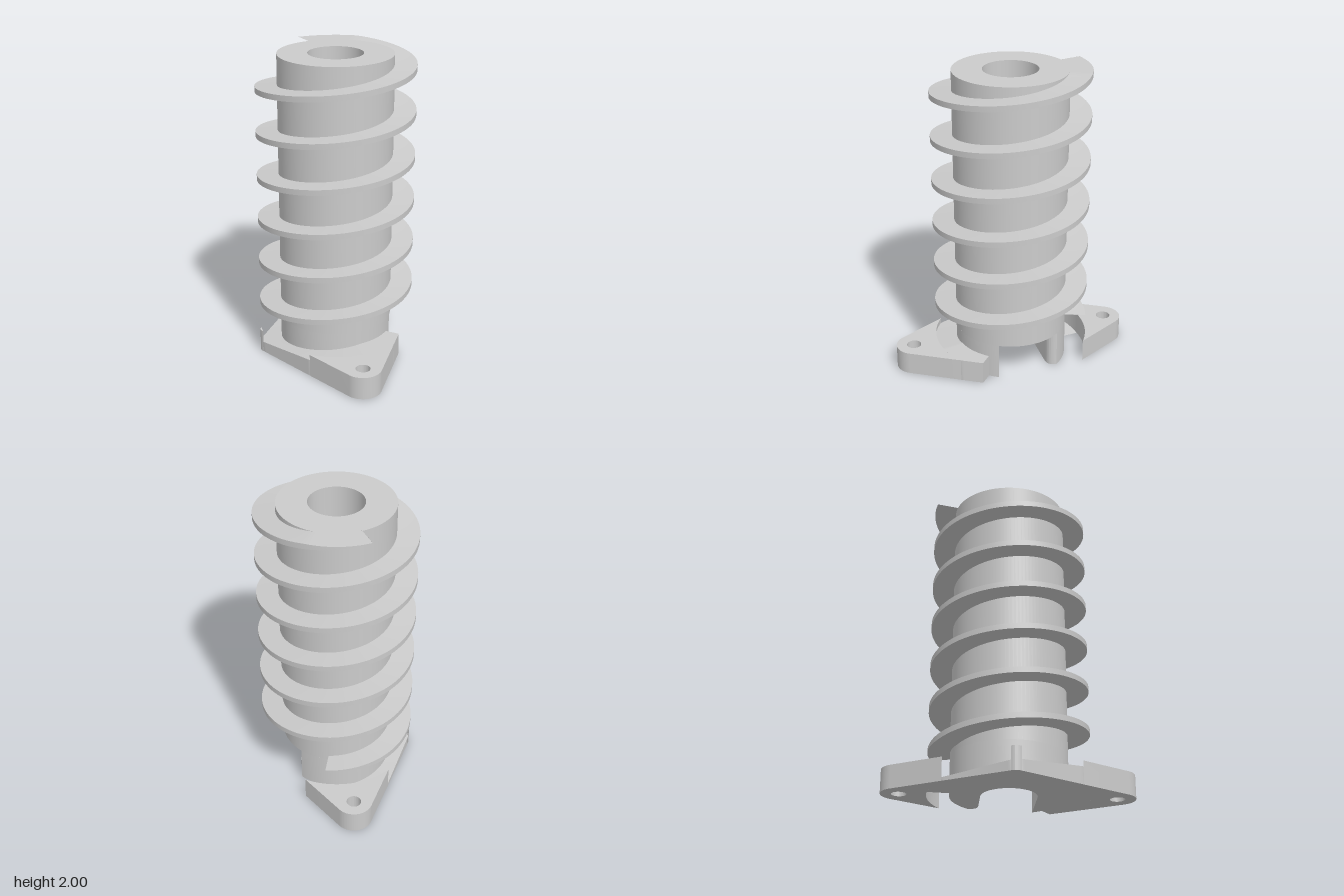
import * as THREE from 'three';
import { toCreasedNormals } from 'three/addons/utils/BufferGeometryUtils.js';

const RAD = Math.PI / 180;
const TUBE = 0.367, BORE = 0.176, FLIGHT = 0.507;
const PITCH = 0.29, THICK = 0.036, BASE = 0.15, SLOT = 0.24;
const EAR_Z = 0.665, EAR_R = 0.122;
const EDGE = EAR_Z / 2 + EAR_R; // distance from the axis to the slanted flange edges
const CUT = Math.acos(EDGE / FLIGHT) / RAD; // where those edges meet the flight circle

const material = new THREE.MeshStandardMaterial({ color: 0xcccccc });

function part(name, geometry) {
  const mesh = new THREE.Mesh(geometry, material);
  mesh.name = name;
  return mesh;
}

// Extrude a plan outline upwards (outline y points to the back)
function slab(shape, y0, y1, curveSegments = 48) {
  const g = new THREE.ExtrudeGeometry(shape, { depth: y1 - y0, bevelEnabled: false, curveSegments });
  g.rotateX(-Math.PI / 2).translate(0, y0, 0);
  return toCreasedNormals(g, 0.5);
}

const polar = (r, deg) => [r * Math.cos(deg * RAD), r * Math.sin(deg * RAD)];

// Sweep a rectangular section around the axis; section(deg) gives inner, outer, low, high
function sweep(from, to, step, section) {
  const n = Math.ceil((to - from) / step);
  const pos = [];
  const rings = [];
  for (let i = 0; i <= n; i++) {
    const deg = from + (to - from) * i / n;
    const { inner, outer, low, high } = section(deg);
    rings.push([[inner, low], [outer, low], [outer, high], [inner, high]].map(([r, y]) => {
      const [x, back] = polar(r, deg);
      return [x, y, -back];
    }));
  }
  const tri = (...pts) => pts.forEach(p => pos.push(...p));
  for (let i = 0; i < n; i++) {
    const p = rings[i], q = rings[i + 1];
    for (let k = 0; k < 4; k++) {
      const m = (k + 1) % 4;
      tri(p[k], q[k], p[m]);
      tri(p[m], q[k], q[m]);
    }
  }
  const a = rings[0], b = rings[n];
  tri(a[0], a[1], a[2]); tri(a[0], a[2], a[3]);
  tri(b[0], b[2], b[1]); tri(b[0], b[3], b[2]);
  const g = new THREE.BufferGeometry();
  g.setAttribute('position', new THREE.Float32BufferAttribute(pos, 3));
  return toCreasedNormals(g, 0.5);
}

// Height of the thread's upper face, unrolled over all turns
const helix = deg => 2 + PITCH * (deg - 59) / 360;

function earShape() {
  const s = new THREE.Shape();
  const a = 30 + CUT, b = 150 - CUT;
  s.moveTo(...polar(FLIGHT, a));
  s.absarc(0, EAR_Z, EAR_R, 30 * RAD, 150 * RAD, false);
  s.lineTo(...polar(FLIGHT, b));
  s.absarc(0, 0, FLIGHT, b * RAD, a * RAD, true);
  const hole = new THREE.Path();
  hole.absarc(0, EAR_Z + 0.007, 0.047, 0, Math.PI * 2, true);
  s.holes.push(hole);
  return s;
}

export function createModel() {
  const model = new THREE.Group();
  model.name = 'screwColumn';
  const screw = new THREE.Group();
  screw.name = 'screw';
  screw.position.x = 0.003;
  model.add(screw);

  // Hollow core above the side slot
  const ring = new THREE.Shape();
  ring.absarc(0, 0, TUBE, 0, Math.PI * 2, false);
  const bore = new THREE.Path();
  bore.absarc(0, 0, BORE, 0, Math.PI * 2, true);
  ring.holes.push(bore);
  screw.add(part('core', slab(ring, SLOT, 2)));

  // Bottom of the core, opened to one side, with one rounded slot corner
  const open = new THREE.Shape();
  open.moveTo(0, BORE);
  open.lineTo(0.215, BORE);
  open.quadraticCurveTo(0.28, BORE, 0.28, 0.238);
  open.absarc(0, 0, TUBE, 40.4 * RAD, 331.4 * RAD, false);
  open.lineTo(0, -BORE);
  open.absarc(0, 0, BORE, -90 * RAD, 90 * RAD, true);
  screw.add(part('slottedCoreFoot', slab(open, 0, SLOT)));

  // Helical flight, trimmed flat at both ends
  screw.add(part('flight', sweep(72 - 6 * 360, 104, 4, deg => ({
    inner: TUBE - 0.01,
    outer: FLIGHT,
    low: Math.max(helix(deg) - THICK, 0.27),
    high: Math.min(Math.max(helix(deg), 0.2705), 2),
  }))));

  // Helical ramp in the flange, levelling out at the flange top
  screw.add(part('ramp', sweep(96.5, 320.5, 1.5, deg => {
    const [x, z] = polar(1, deg);
    const edge = EDGE / (Math.abs(x) * Math.cos(30 * RAD) + Math.abs(z) * 0.5);
    return {
      inner: TUBE - 0.01,
      outer: Math.min(FLIGHT, edge),
      low: 0,
      high: Math.min(helix(deg - 7 * 360), BASE),
    };
  })));

  // Mounting ears, back and front
  for (const [name, turn] of [['backEar', 0], ['frontEar', Math.PI]]) {
    const ear = part(name, slab(earShape(), 0, BASE));
    ear.rotation.y = turn;
    screw.add(ear);
  }

  // Rounded flange corner standing outside the ramp
  const corner = new THREE.Shape();
  const cr = 0.045;
  corner.moveTo(...polar(FLIGHT, 150 + CUT));
  corner.absarc(-(EDGE - cr) / Math.cos(30 * RAD), 0, cr, 150 * RAD, 210 * RAD, false);
  corner.lineTo(...polar(FLIGHT, 210 - CUT));
  corner.absarc(0, 0, FLIGHT, (210 - CUT) * RAD, (150 + CUT) * RAD, true);
  screw.add(part('flangeCorner', slab(corner, 0, BASE, 8)));

  return model;
}
